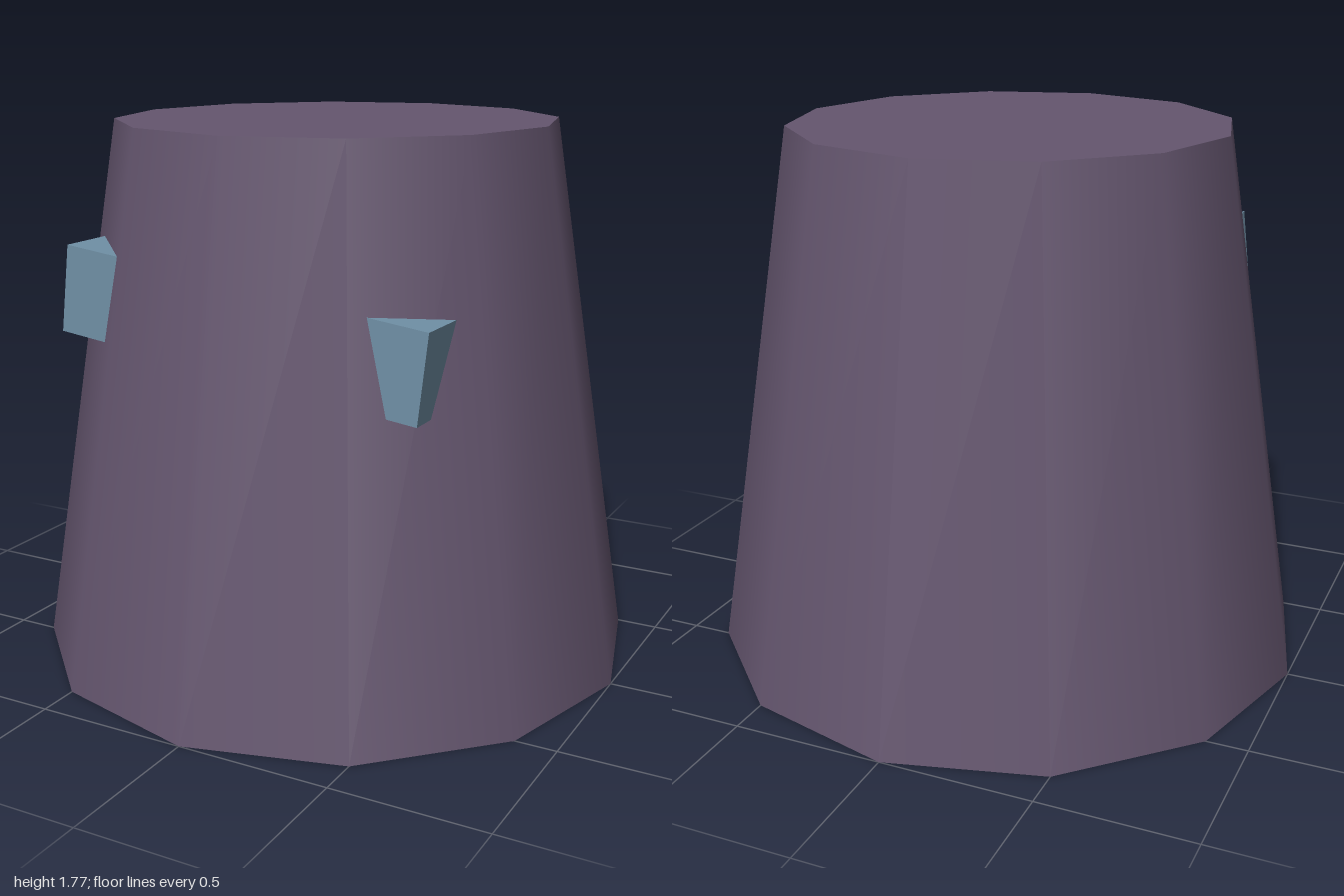
import * as THREE from 'three';

export function createModel() {
  const model = new THREE.Group();
  const bodyMaterial = new THREE.MeshStandardMaterial({ color: 0x65566f });
  const eyeMaterial = new THREE.MeshStandardMaterial({ color: 0x7090a6 });

  // Twelve-sided tapered body with smooth sides
  const height = 1.77;
  const body = new THREE.Mesh(new THREE.CylinderGeometry(0.72, 1, height, 12), bodyMaterial);
  body.name = 'body';
  body.position.y = height / 2;
  model.add(body);

  // Pair of block eyes sunk into the body, tilted together
  const eyes = new THREE.Group();
  eyes.name = 'eyes';
  eyes.position.set(-0.003, 1.189, 0.5);
  eyes.rotation.z = -0.119;
  const eyeGeometry = new THREE.BoxGeometry(0.3, 0.28, 0.3);
  for (const side of [1, -1]) {
    const eye = new THREE.Mesh(eyeGeometry, eyeMaterial);
    eye.name = side > 0 ? 'leftEye' : 'rightEye';
    eye.position.x = side * 0.474;
    eyes.add(eye);
  }
  model.add(eyes);

  return model;
}
